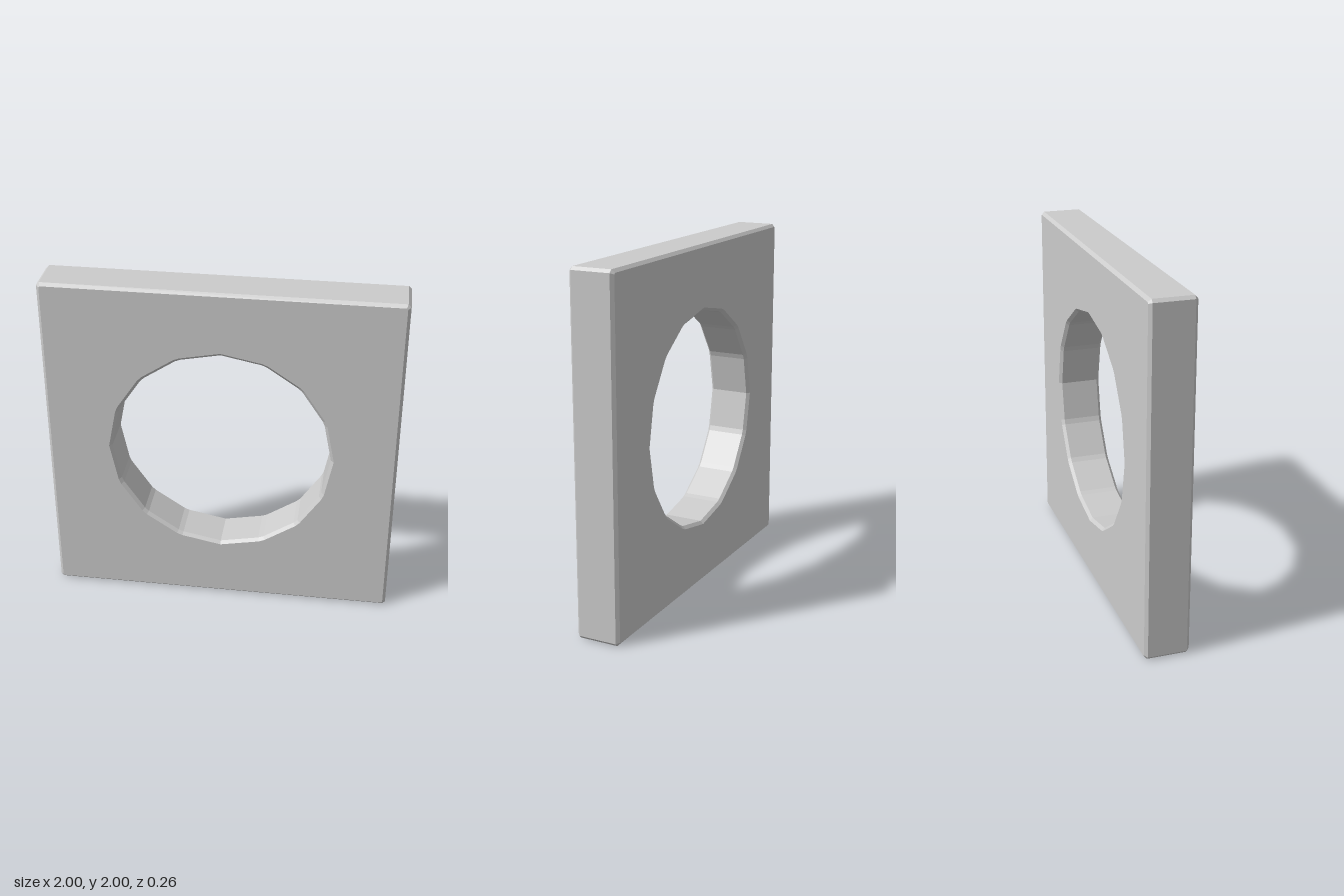
import * as THREE from 'three';

const HALF = 1, DEPTH = 0.256, BEVEL = 0.017, HOLE_R = 0.645, SIDES = 16, CUT = 0.07;

// Square outline, inset by the bevel, with slightly clipped corners
function plateOutline() {
  const s = HALF - BEVEL, a = BEVEL * 0.41;
  return new THREE.Shape([
    [s, -s + a], [s, s - a], [s - a, s], [-s + a, s],
    [-s, s - a], [-s, -s + a], [-s + a, -s], [s - a, -s],
  ].map(([x, y]) => new THREE.Vector2(x, y)));
}

// Sixteen-sided hole; every corner off the main axes is clipped
function holeOutline() {
  const corner = (i) => {
    const t = (i / SIDES) * Math.PI * 2;
    return new THREE.Vector2(Math.cos(t) * HOLE_R, Math.sin(t) * HOLE_R);
  };
  const points = [];
  for (let i = 0; i < SIDES; i++) {
    const p = corner(i);
    if (i % 4 === 0) points.push(p);
    else points.push(p.clone().lerp(corner(i - 1), CUT), p.clone().lerp(corner(i + 1), CUT));
  }
  return new THREE.Path(points.reverse());
}

export function createModel() {
  const group = new THREE.Group();
  group.name = 'squarePlateWithHole';

  // Bevelled plate, pierced front to back
  const shape = plateOutline();
  shape.holes.push(holeOutline());
  const geometry = new THREE.ExtrudeGeometry(shape, {
    depth: DEPTH - 2 * BEVEL,
    bevelEnabled: true,
    bevelThickness: BEVEL,
    bevelSize: BEVEL,
    bevelSegments: 1,
    steps: 1,
  });
  geometry.translate(0, HALF, -(DEPTH / 2 - BEVEL));

  const plate = new THREE.Mesh(
    geometry,
    new THREE.MeshStandardMaterial({ color: 0xcccccc, flatShading: true }),
  );
  plate.name = 'plate';
  group.add(plate);
  return group;
}
